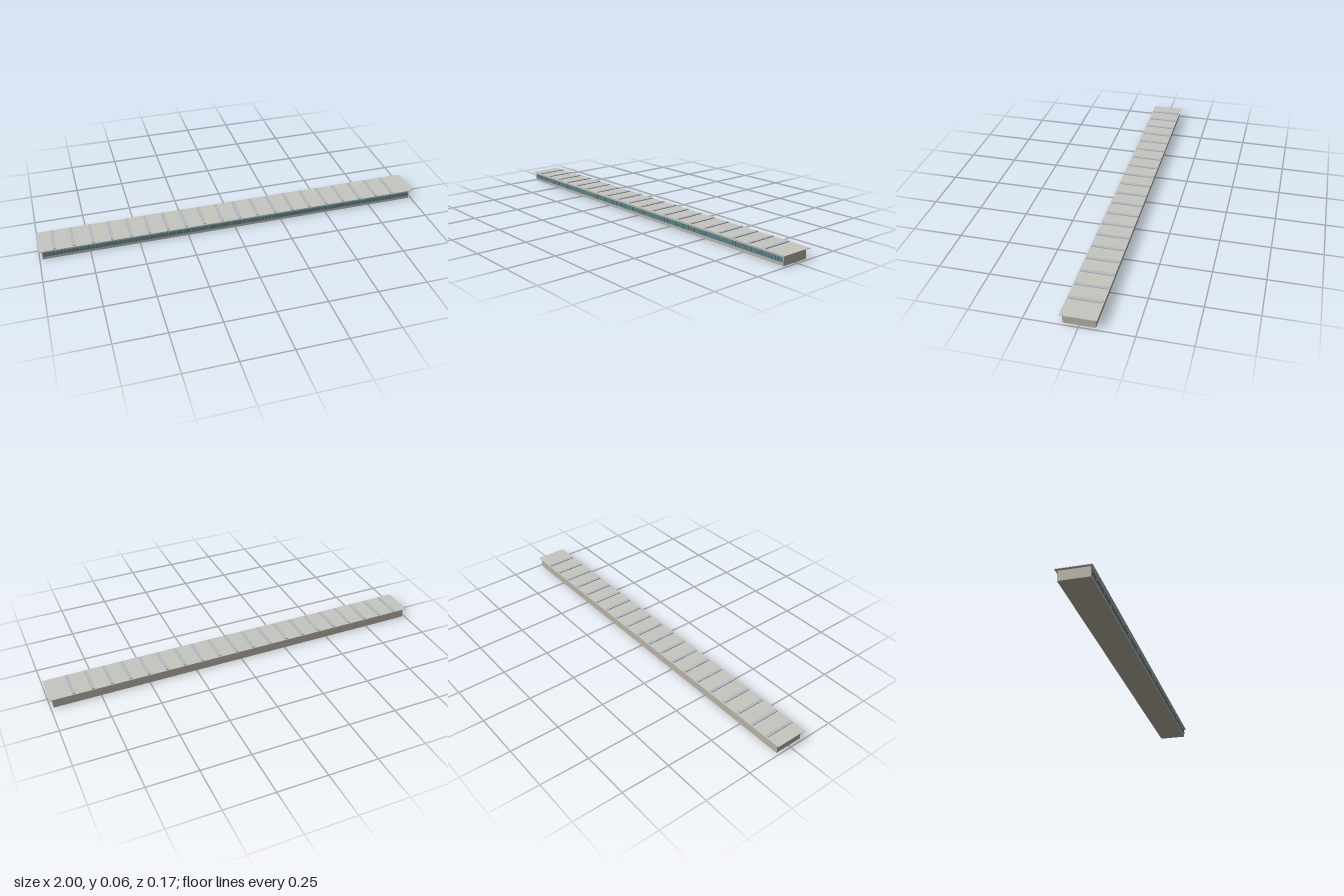
import * as THREE from 'three';

const paint = (color) => new THREE.MeshStandardMaterial({ color });

export function createModel() {
  const model = new THREE.Group();
  model.name = 'longHall';

  const wall = paint(0xb8b0a4);
  const roofing = paint(0xc6c6c0);
  const ridge = paint(0xb4bac0);
  const glass = paint(0x55808a);

  // box placed by its base height
  const addBox = (parent, name, material, [w, h, d], [x, base, z]) => {
    const mesh = new THREE.Mesh(new THREE.BoxGeometry(w, h, d), material);
    mesh.name = name;
    mesh.position.set(x, base + h / 2, z);
    parent.add(mesh);
  };

  // main hall and overhanging flat roof
  addBox(model, 'hallBody', wall, [1.972, 0.05, 0.148], [0, 0, 0]);
  addBox(model, 'roofSlab', roofing, [2, 0.0027, 0.167], [0, 0.05, 0]);

  // raised strips across the roof
  const strips = new THREE.Group();
  strips.name = 'roofStrips';
  for (let i = 0; i < 20; i++) {
    addBox(strips, 'roofStrip', ridge, [0.015, 0.0045, 0.156], [-0.922 + i * 0.0949, 0.0525, 0]);
  }
  model.add(strips);

  // band of window panes along the front
  const windows = new THREE.Group();
  windows.name = 'windowBand';
  const count = 100;
  const pitch = 1.96 / count;
  for (let i = 0; i < count; i++) {
    addBox(windows, 'windowPane', glass, [pitch * 0.92, 0.023, 0.003], [(i - (count - 1) / 2) * pitch, 0.016, 0.075]);
  }
  model.add(windows);

  return model;
}
